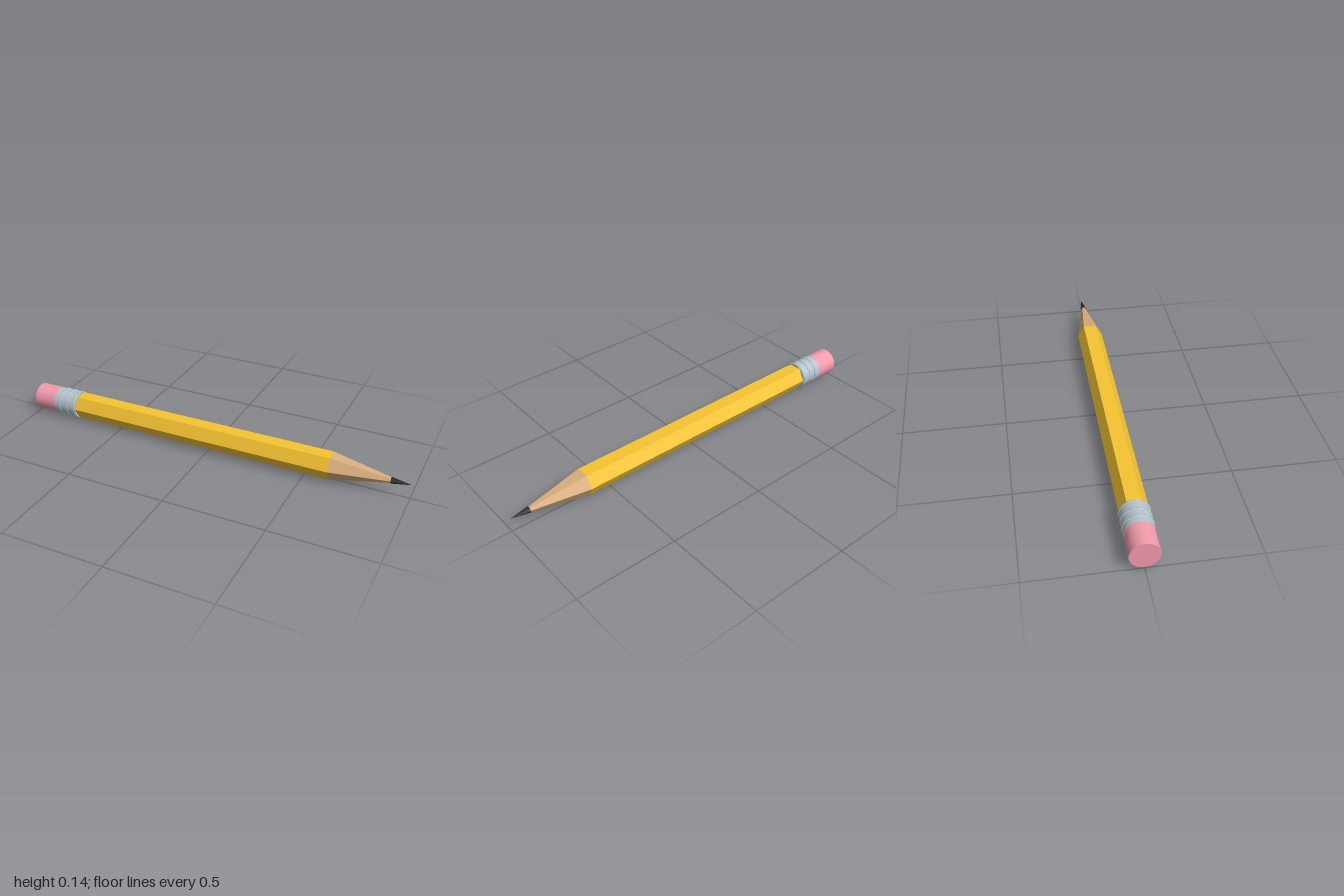
import * as THREE from 'three';

const AXIS_Y = 0.0715;

export function createModel() {
  const pencil = new THREE.Group();
  pencil.name = 'pencil';

  const material = (color, flatShading = false) => new THREE.MeshStandardMaterial({ color, flatShading });
  const paint = material(0xf5c431, true);
  const wood = material(0xd9ae7c, true);
  const graphite = material(0x2b2b2e, true);
  const metal = material(0xb4c3cc);
  const rubber = material(0xf29bac);

  // Adds a round or six-sided section lying along x, from x0 to x1
  function section(name, x0, x1, r0, r1, sides, mat) {
    const geometry = new THREE.CylinderGeometry(r1, r0, x1 - x0, sides);
    geometry.rotateZ(-Math.PI / 2);
    const mesh = new THREE.Mesh(geometry, mat);
    mesh.name = name;
    mesh.position.set((x0 + x1) / 2, AXIS_Y, 0);
    pencil.add(mesh);
  }

  // Hexagonal shaft and sharpened end, with ridges towards +z and -z
  section('shaft', -0.755, 0.622, 0.066, 0.066, 6, paint);
  section('sharpenedWood', 0.622, 0.975, 0.066, 0, 6, wood);
  section('lead', 0.905, 1, 0.016, 0, 6, graphite);

  // Eraser held by a metal ferrule
  section('eraser', -1, -0.875, 0.067, 0.067, 32, rubber);
  section('ferrule', -0.88, -0.753, 0.068, 0.068, 32, metal);

  // Raised bands around the ferrule
  [-0.846, -0.804, -0.762].forEach((x, i) => {
    const geometry = new THREE.TorusGeometry(0.0665, 0.005, 8, 32);
    geometry.rotateY(Math.PI / 2);
    const band = new THREE.Mesh(geometry, metal);
    band.name = `ferruleBand${i + 1}`;
    band.position.set(x, AXIS_Y, 0);
    pencil.add(band);
  });

  return pencil;
}
